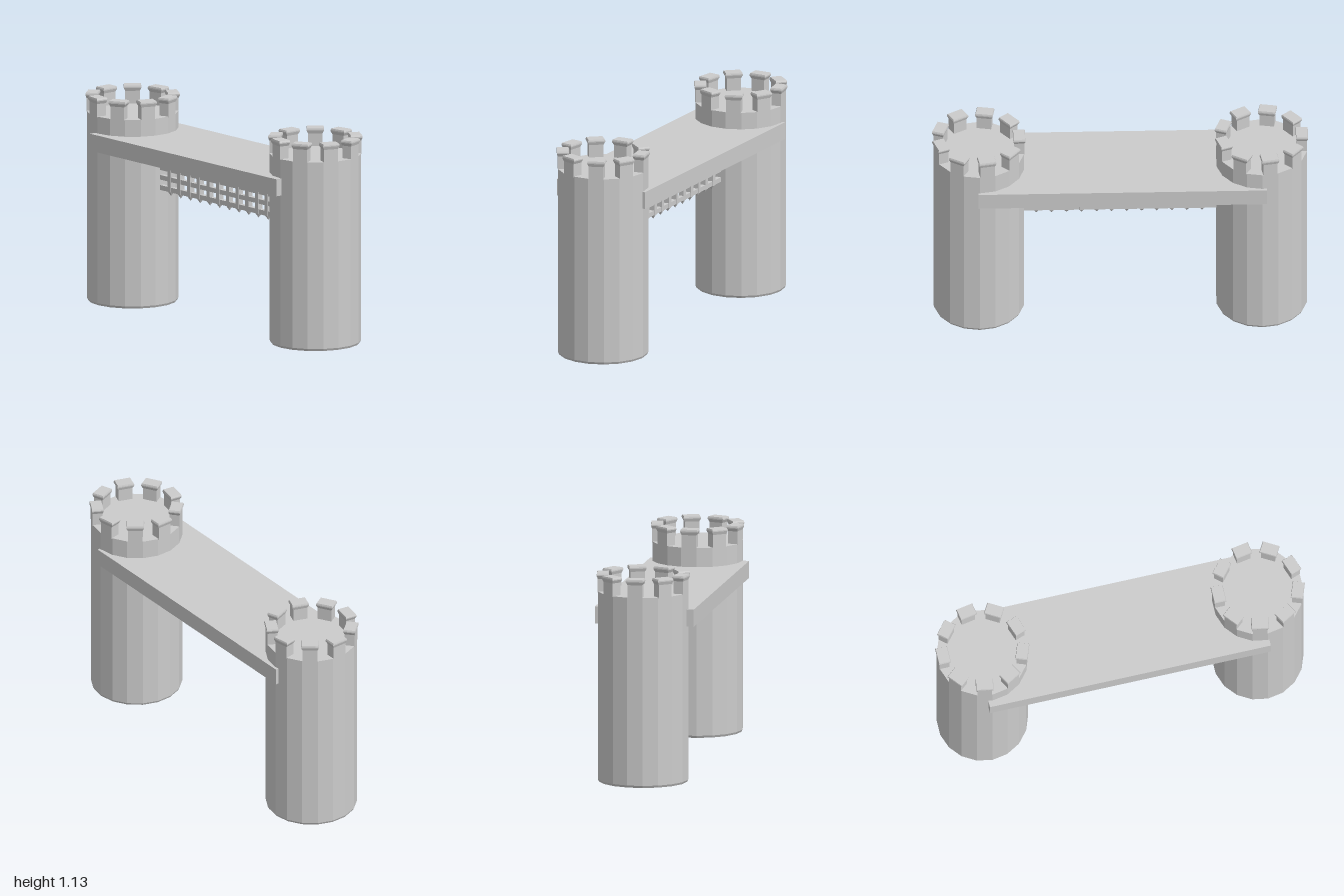
import * as THREE from 'three';

const grey = new THREE.MeshStandardMaterial({ color: 0xcccccc, flatShading: true });
const SIDES = 18;
const RADIUS = 0.243;

function part(name, geometry, x = 0, y = 0, z = 0) {
  const mesh = new THREE.Mesh(geometry, grey);
  mesh.name = name;
  mesh.position.set(x, y, z);
  return mesh;
}

const profile = (pairs) => pairs.map(([r, y]) => new THREE.Vector2(r, y));

// Square post with a flared, chamfered cap; width runs along z, depth along x
function merlonGeometry() {
  const points = profile([[0, -0.005], [1, -0.005], [1, 0.068], [1.2, 0.084], [1.2, 0.09], [1.12, 0.098], [0, 0.098]]);
  const geometry = new THREE.LatheGeometry(points, 4);
  geometry.rotateY(Math.PI / 4);
  geometry.scale(0.027 * Math.SQRT2, 1, 0.039 * Math.SQRT2);
  return geometry;
}

// Round tower with a bevelled foot, flat roof and a ring of nine merlons
function tower(name, x, y) {
  const group = new THREE.Group();
  group.name = name;
  group.position.set(x, y, -0.01);

  const height = 1.023;
  const body = profile([[0, 0], [RADIUS - 0.006, 0], [RADIUS, 0.012], [RADIUS, height], [0, height]]);
  group.add(part('towerBody', new THREE.LatheGeometry(body, SIDES)));

  const merlon = merlonGeometry();
  for (let i = 0; i < 9; i++) {
    const angle = Math.PI + (i / 9) * Math.PI * 2;
    const post = part('merlon', merlon, 0.214 * Math.cos(angle), height, 0.214 * Math.sin(angle));
    post.rotation.y = -angle;
    group.add(post);
  }
  return group;
}

// Hanging grille of crossed bars with spikes along the bottom
function portcullis() {
  const group = new THREE.Group();
  group.name = 'portcullis';
  group.position.z = -0.01;

  const rails = [[0.803, 0.845], [0.742, 0.783], [0.69, 0.715], [0.634, 0.66]];
  for (const [low, high] of rails) {
    group.add(part('crossBar', new THREE.BoxGeometry(1.03, high - low, 0.025), 0, (low + high) / 2));
  }

  const bar = new THREE.BoxGeometry(0.025, 0.21, 0.03);
  const spike = new THREE.ConeGeometry(0.018, 0.024, 4);
  spike.rotateX(Math.PI);
  spike.rotateY(Math.PI / 4);
  for (let i = 0; i < 12; i++) {
    const x = 0.003 + (i - 5.5) * 0.0798;
    group.add(part('uprightBar', bar, x, 0.739));
    group.add(part('spike', spike, x, 0.623));
  }
  return group;
}

export function createModel() {
  const model = new THREE.Group();
  model.name = 'gatehouse';
  model.add(tower('rightTower', -0.752, 0));
  model.add(tower('leftTower', 0.748, 0.012));
  model.add(part('bridge', new THREE.BoxGeometry(1.53, 0.092, 0.534), -0.01, 0.886, 0));
  model.add(portcullis());
  return model;
}
